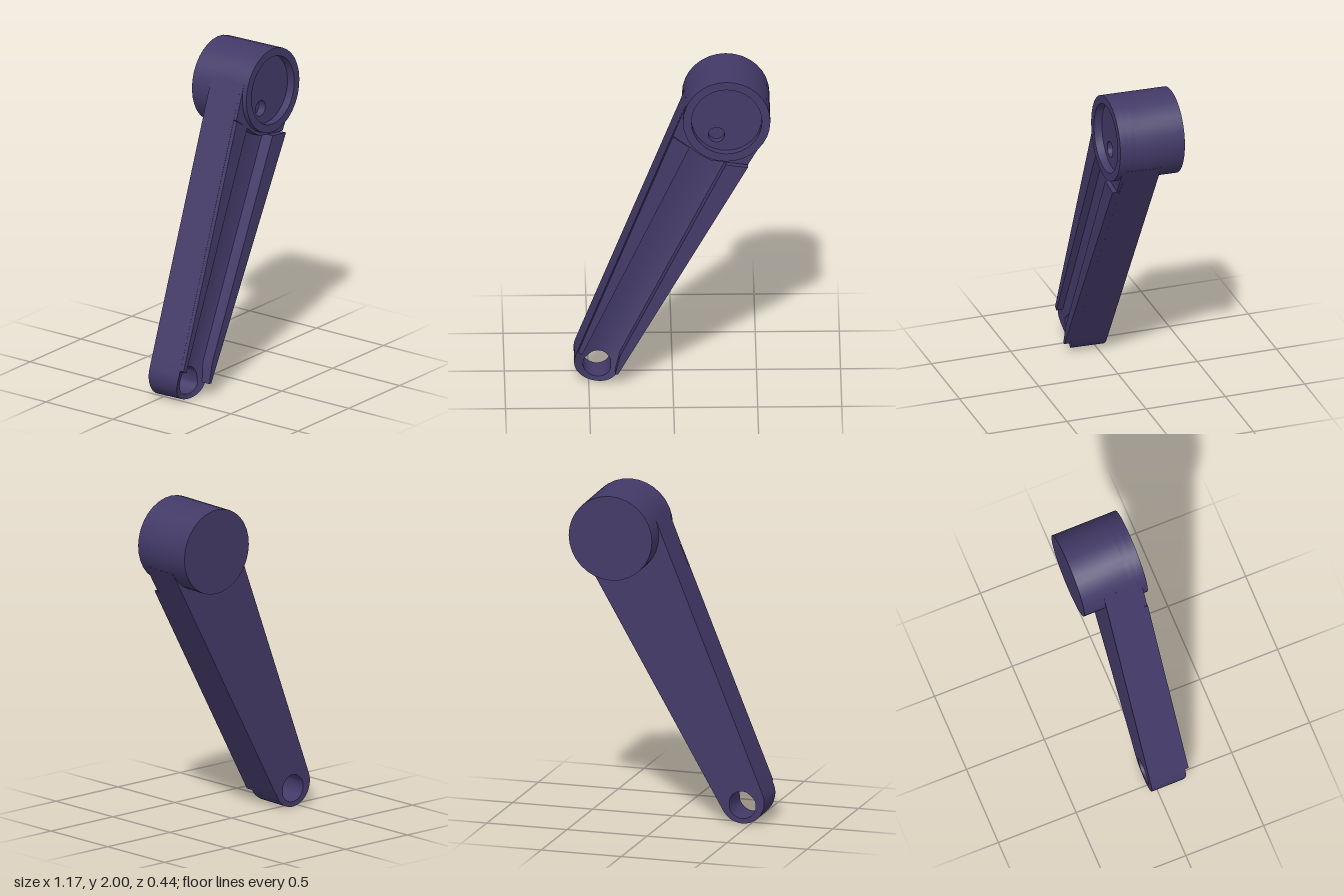
import * as THREE from 'three';
import { toCreasedNormals } from 'three/addons/utils/BufferGeometryUtils.js';

const HUB = { x: 0.32, y: 1.74, r: 0.26 };
const EYE = { x: -0.45, y: 0.14, r: 0.137 };
const HOLE = { x: -0.45, y: 0.117, r: 0.084 };
const AXIS = Math.atan2(HUB.y - EYE.y, HUB.x - EYE.x);
const LENGTH = Math.hypot(HUB.x - EYE.x, HUB.y - EYE.y);
const TANGENT = Math.PI / 2 + Math.asin((HUB.r - EYE.r) / LENGTH);

const onCircle = (c, a, r = c.r) => new THREE.Vector2(c.x + r * Math.cos(a), c.y + r * Math.sin(a));

function arc(c, from, to, n, r = c.r) {
  return Array.from({ length: n + 1 }, (_, i) => onCircle(c, from + (to - from) * i / n, r));
}

// Straight run of points without its two ends
function between(a, b, n) {
  return Array.from({ length: n - 1 }, (_, i) => a.clone().lerp(b, (i + 1) / n));
}

// Flat-sided plate from a shape, between two depths
function plate(shape, z0, z1) {
  const g = new THREE.ExtrudeGeometry(shape, { depth: z1 - z0, bevelEnabled: false, curveSegments: 16 });
  g.translate(0, 0, z0);
  return toCreasedNormals(g, 0.6);
}

function disc(c, r, hole) {
  const s = new THREE.Shape().absarc(c.x, c.y, r, 0, Math.PI * 2, false);
  if (hole) s.holes.push(new THREE.Path().absarc(hole.x, hole.y, hole.r, 0, Math.PI * 2, true));
  return s;
}

const polygon = (pts) => new THREE.Shape(pts.map(([x, y]) => new THREE.Vector2(x, y)));

// Tapered arm: rings run from the eye hole out to the outline, with a hollowed front
function armGeometry() {
  const back = -0.045, edge = 0.178, hollow = 0.04, steps = 14;
  const right = AXIS - TANGENT, left = AXIS + TANGENT;
  const outline = [
    ...arc(EYE, left, right + Math.PI * 2, 24),
    ...between(onCircle(EYE, right), onCircle(HUB, right), 14),
    onCircle(HUB, right),
    ...arc(HUB, AXIS - 1.71 + Math.PI * 2, AXIS + 1.71, 24, 0.235),
    onCircle(HUB, left),
    ...between(onCircle(HUB, left), onCircle(EYE, left), 14),
  ];
  const inner = outline.map((p) => onCircle(HOLE, Math.atan2(p.y - HOLE.y, p.x - HOLE.x)));

  const frontZ = (p) => {
    const dx = p.x - EYE.x, dy = p.y - EYE.y;
    const along = dx * Math.cos(AXIS) + dy * Math.sin(AXIS);
    const across = dy * Math.cos(AXIS) - dx * Math.sin(AXIS);
    const half = EYE.r + (HUB.r - EYE.r) * Math.max(0, along) / LENGTH;
    const s = Math.min(1, Math.abs(across) / half);
    return edge - hollow * (1 - s * s);
  };

  const rings = [inner.map((p) => [p.x, p.y, back])];
  for (let k = 0; k <= steps; k++) {
    rings.push(outline.map((p, i) => {
      const q = inner[i].clone().lerp(p, k / steps);
      return [q.x, q.y, frontZ(q)];
    }));
  }
  rings.push(outline.map((p) => [p.x, p.y, back]));

  const n = outline.length, m = rings.length, index = [];
  for (let k = 0; k < m; k++) {
    for (let i = 0; i < n; i++) {
      const j = (i + 1) % n, l = (k + 1) % m;
      const a = k * n + i, b = k * n + j, c = l * n + i, d = l * n + j;
      index.push(a, c, b, b, c, d);
    }
  }
  const g = new THREE.BufferGeometry();
  g.setAttribute('position', new THREE.Float32BufferAttribute(rings.flat(2), 3));
  g.setIndex(index);
  return toCreasedNormals(g, 0.6);
}

export function createModel() {
  const model = new THREE.Group();
  model.name = 'crankArm';
  const metal = new THREE.MeshStandardMaterial({ color: 0x433a68 });
  metal.name = 'dark violet metal';

  const add = (name, geometry) => {
    const mesh = new THREE.Mesh(geometry, metal);
    mesh.name = name;
    model.add(mesh);
  };

  add('arm', armGeometry());

  // Raised rails either side of the channel
  add('rightRail', plate(polygon([[0.0, 1.63], [-0.565, 0.215], [-0.54, 0.2], [0.1, 1.56]]), 0.12, 0.201));
  add('leftRail', plate(polygon([[0.446, 1.437], [0.315, 1.455], [-0.315, 0.2], [-0.345, 0.08], [-0.327, 0.08]]), 0.12, 0.224));

  // Neck that joins the arm to the hub
  const neck = new THREE.Shape([
    ...[[0.08, 1.84], [0.0, 1.635], [0.1, 1.56], [0.15, 1.52], [0.22, 1.475], [0.315, 1.46], [0.447, 1.443], [0.55, 1.62]]
      .map(([x, y]) => new THREE.Vector2(x, y)),
    ...arc(HUB, AXIS - 1.7 + Math.PI * 2, AXIS + 1.7, 20, 0.235),
  ]);
  add('neck', plate(neck, 0.1, 0.197));

  // Hub: solid back, floor with a small blind hole, and raised rim
  const pinHole = { x: 0.26, y: 1.633, r: 0.048 };
  add('hubBody', plate(disc(HUB, HUB.r), -0.179, 0.13));
  add('hubFloor', plate(disc(HUB, HUB.r, pinHole), 0.13, 0.178));
  add('hubRim', plate(disc(HUB, HUB.r, { ...HUB, r: 0.21 }), 0.178, 0.228));

  // The whole crank leans back slightly
  model.rotation.x = -0.0215;
  return model;
}
